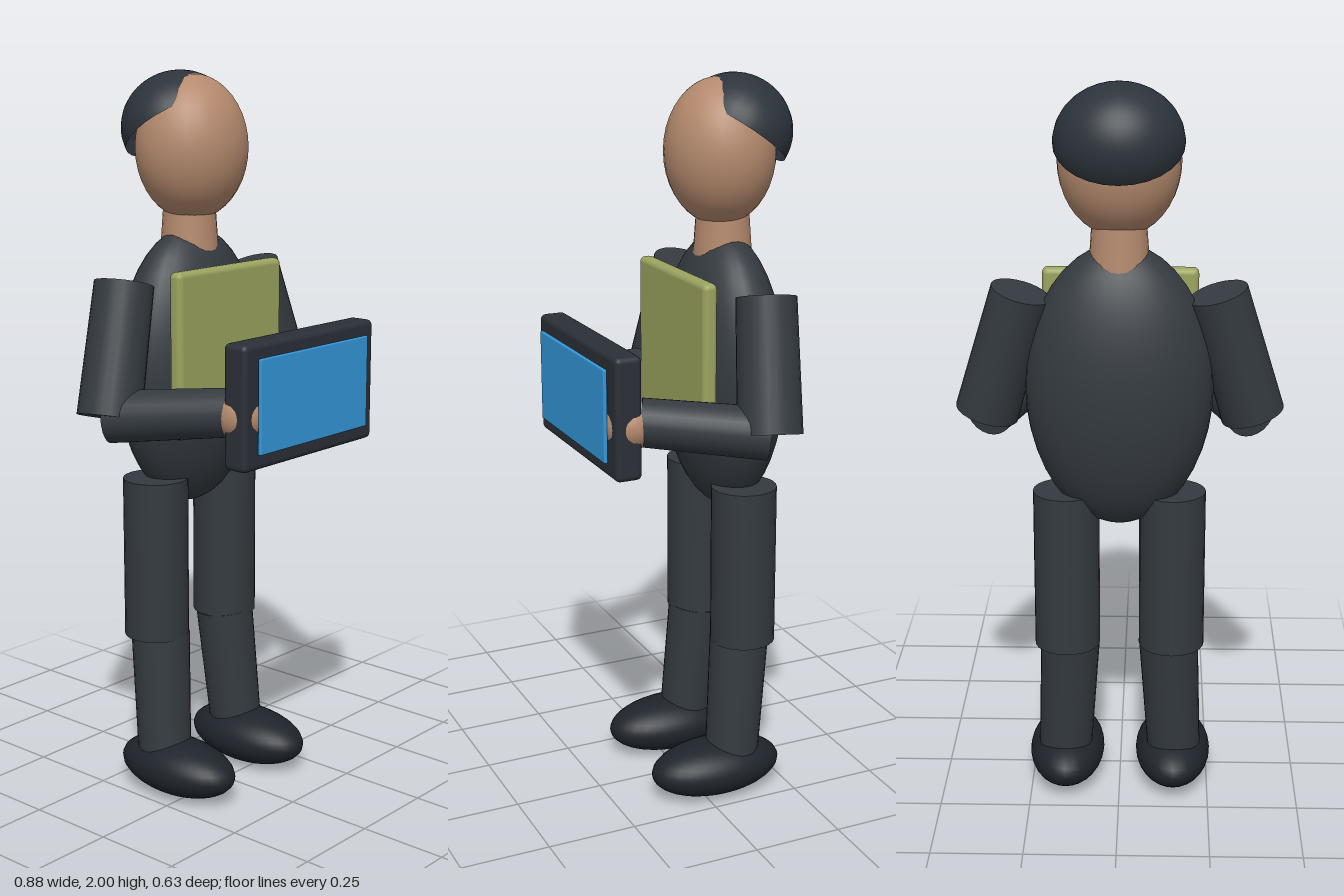
import * as THREE from 'three';
import { RoundedBoxGeometry } from 'three/addons/geometries/RoundedBoxGeometry.js';

const mat = (color, side = THREE.FrontSide) => new THREE.MeshStandardMaterial({ color, side });

export function createModel() {
  const model = new THREE.Group();
  const cloth = mat(0x343a40), shoe = mat(0x1f242b), skin = mat(0xb58a6e);
  const hairMat = mat(0x2c333b, THREE.DoubleSide), frame = mat(0x2b3038);
  const green = mat(0x9ca45f), blue = mat(0x3498db);

  const add = (name, geometry, material) => {
    const mesh = new THREE.Mesh(geometry, material);
    mesh.name = name;
    model.add(mesh);
    return mesh;
  };

  // Ellipsoid from centre and radii; thetaLength < PI leaves a dome
  const ellipsoid = (name, material, centre, radii, thetaLength = Math.PI) => {
    const mesh = add(name, new THREE.SphereGeometry(1, 28, 20, 0, Math.PI * 2, 0, thetaLength), material);
    mesh.position.set(...centre);
    mesh.scale.set(...radii);
    return mesh;
  };

  // Tapered cylinder running from point a to point b
  const limb = (name, material, a, b, ra, rb) => {
    const start = new THREE.Vector3(...a), end = new THREE.Vector3(...b);
    const axis = start.clone().sub(end);
    const mesh = add(name, new THREE.CylinderGeometry(ra, rb, axis.length(), 24), material);
    mesh.position.copy(start).add(end).multiplyScalar(0.5);
    mesh.quaternion.setFromUnitVectors(new THREE.Vector3(0, 1, 0), axis.normalize());
    return mesh;
  };

  const slab = (name, material, w, h, d, y, z, r) =>
    add(name, new RoundedBoxGeometry(w, h, d, 3, r), material).position.set(0, y, z);

  // Body and head
  ellipsoid('torso', cloth, [0, 1.2, -0.13], [0.25, 0.385, 0.148]);
  limb('neck', skin, [0, 1.66, -0.13], [0, 1.52, -0.13], 0.07, 0.08);
  ellipsoid('head', skin, [0, 1.797, -0.12], [0.16, 0.195, 0.148]);
  ellipsoid('hair', hairMat, [0, 1.85, -0.163], [0.168, 0.15, 0.152], Math.PI / 2).rotation.x = -0.61;

  // Arms and legs, mirrored
  for (const [side, s] of [['left', 1], ['right', -1]]) {
    limb(side + 'UpperArm', cloth, [s * 0.257, 1.455, -0.13], [s * 0.356, 1.115, -0.095], 0.08, 0.086);
    limb(side + 'Forearm', cloth, [s * 0.352, 1.117, -0.095], [s * 0.217, 1.15, 0.21], 0.07, 0.064);
    ellipsoid(side + 'Hand', skin, [s * 0.21, 1.147, 0.238], [0.07, 0.07, 0.07]);
    limb(side + 'Thigh', cloth, [s * 0.144, 0.905, -0.13], [s * 0.144, 0.453, -0.13], 0.09, 0.09);
    limb(side + 'Shin', cloth, [s * 0.137, 0.455, -0.123], [s * 0.154, 0.12, -0.095], 0.082, 0.075);
    ellipsoid(side + 'Shoe', shoe, [s * 0.152, 0.078, -0.045], [0.106, 0.078, 0.193]);
  }

  // Chest panel and the framed screen held in both hands
  slab('chestPanel', green, 0.42, 0.45, 0.042, 1.265, 0.004, 0.016);
  slab('screenFrame', frame, 0.54, 0.33, 0.074, 1.175, 0.262, 0.015);
  slab('screen', blue, 0.45, 0.25, 0.011, 1.178, 0.309, 0.004);

  return model;
}
